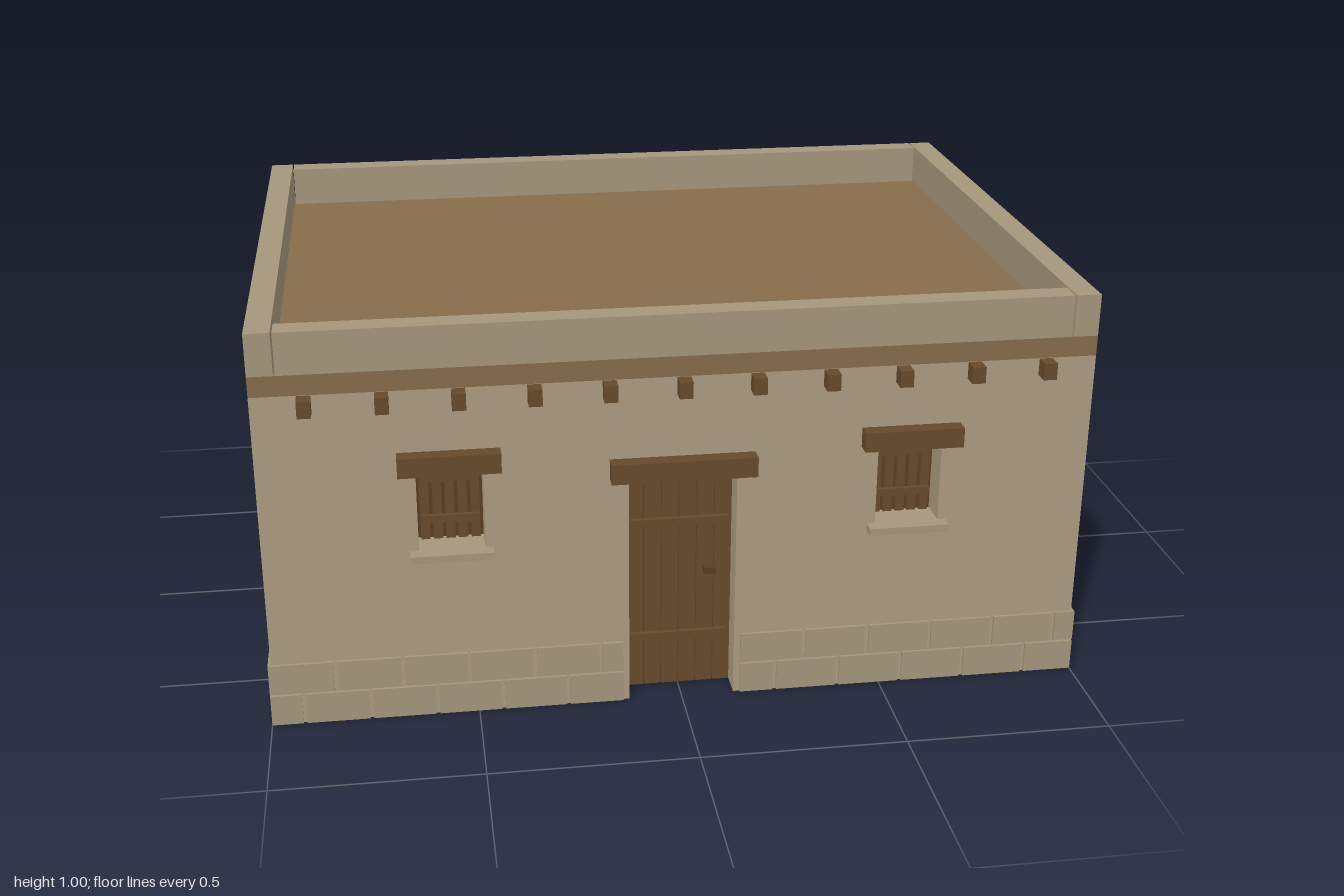
import * as THREE from 'three';

const mat = (name, color) => {
  const m = new THREE.MeshStandardMaterial({ color });
  m.name = name;
  return m;
};

export function createModel() {
  const model = new THREE.Group();
  model.name = 'flatRoofHouse';

  const plaster = mat('plaster', 0xac9b80);
  const stone = mat('stone', 0xa5967c);
  const earth = mat('packed earth', 0x866c4b);
  const wood = mat('wood', 0x664a2a);
  const darkWood = mat('dark wood', 0x583d20);

  const group = (name, parent = model) => {
    const g = new THREE.Group();
    g.name = name;
    parent.add(g);
    return g;
  };
  // Box given by its minimum and maximum on each axis
  const box = (parent, name, material, x0, x1, y0, y1, z0, z1) => {
    const mesh = new THREE.Mesh(new THREE.BoxGeometry(x1 - x0, y1 - y0, z1 - z0), material);
    mesh.position.set((x0 + x1) / 2, (y0 + y1) / 2, (z0 + z1) / 2);
    mesh.name = name;
    parent.add(mesh);
    return mesh;
  };

  const X = 0.993, ZF = 0.716, ZB = -0.744; // outer wall faces
  const T = 0.1, WALL = 0.85, ROOF = 0.9, TOP = 1.003;
  const WIN = 0.55, WIN_HALF = 0.078, WIN_LOW = 0.44, WIN_HIGH = 0.65;
  const DOOR = 0.13, DOOR_TOP = 0.605;

  // Walls: front with a door notch and two window holes
  const walls = group('walls');
  const front = new THREE.Shape([
    [-X, 0], [-DOOR, 0], [-DOOR, DOOR_TOP], [DOOR, DOOR_TOP], [DOOR, 0], [X, 0], [X, WALL], [-X, WALL],
  ].map(([x, y]) => new THREE.Vector2(x, y)));
  for (const s of [-1, 1]) {
    const c = s * WIN;
    front.holes.push(new THREE.Path([
      [c - WIN_HALF, WIN_LOW], [c - WIN_HALF, WIN_HIGH], [c + WIN_HALF, WIN_HIGH], [c + WIN_HALF, WIN_LOW],
    ].map(([x, y]) => new THREE.Vector2(x, y))));
  }
  const frontWall = new THREE.Mesh(new THREE.ExtrudeGeometry(front, { depth: T, bevelEnabled: false }), plaster);
  frontWall.position.z = ZF - T;
  frontWall.name = 'frontWall';
  walls.add(frontWall);
  box(walls, 'backWall', plaster, -X, X, 0, WALL, ZB, ZB + T);
  box(walls, 'rightWall', plaster, -X, -X + T, 0, WALL, ZB + T, ZF - T);
  box(walls, 'leftWall', plaster, X - T, X, 0, WALL, ZB + T, ZF - T);
  box(model, 'floor', earth, -X + T, X - T, 0.003, 0.02, ZB + T, ZF - T);

  // Roof slab and parapet
  box(model, 'roofSlab', earth, -X, X, WALL, ROOF, ZB, ZF);
  const parapet = group('parapet');
  const P = 0.06, IN = X - P - 0.004;
  for (const s of [-1, 1]) {
    const c = s * (X - P / 2);
    box(parapet, 'sideParapet', stone, c - P / 2, c + P / 2, ROOF, TOP, ZB, ZF);
  }
  box(parapet, 'frontParapet', stone, -IN, IN, ROOF, TOP, ZF - P, ZF);
  box(parapet, 'backParapet', stone, -IN, IN, ROOF, TOP, ZB, ZB + P);

  // Two courses of facing stones round the base
  const base = group('baseStones');
  const PROUD = 0.007, GAP = 0.009;
  const courses = [[0.001, 0.08], [0.085, 0.163]];
  // Cuts a run from a to b into stones of one length, after a shorter first stone
  const run = (a, b, first, length, place) => {
    let end = a + first;
    for (let start = a; start < b - 0.005; start = end + GAP, end += length) {
      place(start, Math.min(end, b));
    }
  };
  courses.forEach(([y0, y1], row) => {
    const first = row ? 0.155 : 0.075;
    const facing = (z0, z1) => (a, b) => box(base, 'stone', stone, a, b, y0, y1, z0, z1);
    run(-1, -0.146, first, 0.16, facing(ZF, ZF + PROUD));
    run(0.146, 1, row ? 0.155 : 0.083, 0.16, facing(ZF, ZF + PROUD));
    run(-1, 1, first, 0.16, facing(ZB - PROUD, ZB));
    for (const s of [-1, 1]) {
      const c = s * (X + PROUD / 2);
      run(-ZF - PROUD, -ZB + PROUD, row ? 0.085 : 0.03, row ? 0.197 : 0.159, (a, b) =>
        box(base, 'stone', stone, c - PROUD / 2, c + PROUD / 2, y0, y1, -b, -a));
    }
  });

  // Roof beam ends
  const beams = group('beamEnds');
  for (let i = -5; i <= 5; i++) {
    const x = i * 0.174;
    box(beams, 'beamEnd', wood, x - 0.016, x + 0.016, 0.808, 0.849, ZF - 0.02, 0.754);
  }

  // Plank door set back in its opening
  const door = group('door');
  const DZ = ZF - 0.06;
  box(door, 'doorBacking', darkWood, -DOOR, DOOR, 0.002, DOOR_TOP, DZ - 0.03, DZ - 0.008);
  const plank = 2 * DOOR / 6;
  for (let i = 0; i < 6; i++) {
    const x = -DOOR + i * plank;
    box(door, 'plank', wood, x + 0.001, x + plank - 0.001, 0.003, 0.6, DZ - 0.01, DZ);
  }
  for (const y of [0.142, 0.453]) {
    box(door, 'doorBrace', wood, -0.12, 0.118, y - 0.01, y + 0.01, DZ, DZ + 0.012);
  }
  box(door, 'handle', darkWood, 0.06, 0.09, 0.312, 0.328, DZ, DZ + 0.02);
  box(door, 'doorLintel', wood, -0.175, 0.173, 0.6, 0.65, ZF - 0.02, 0.754);

  // Windows with slatted shutters, lintels and stone sills
  for (const s of [-1, 1]) {
    const win = group(s < 0 ? 'rightWindow' : 'leftWindow');
    win.position.x = s * WIN;
    const z = ZF - 0.065;
    box(win, 'shutterBacking', darkWood, -WIN_HALF, WIN_HALF, WIN_LOW, WIN_HIGH, z - 0.025, z - 0.01);
    for (let i = -2; i <= 2; i++) {
      box(win, 'slat', wood, i * 0.03 - 0.011, i * 0.03 + 0.011, WIN_LOW, WIN_HIGH, z - 0.01, z);
    }
    for (const y of [0.495, 0.603]) {
      box(win, 'crossBar', wood, -0.07, 0.07, y - 0.01, y + 0.01, z, z + 0.01);
    }
    box(win, 'windowLintel', wood, -0.12, 0.12, 0.647, 0.696, ZF - 0.02, 0.754);
    box(win, 'sill', stone, -0.098, 0.098, 0.424, 0.442, ZF - 0.06, 0.749);
  }
  return model;
}
